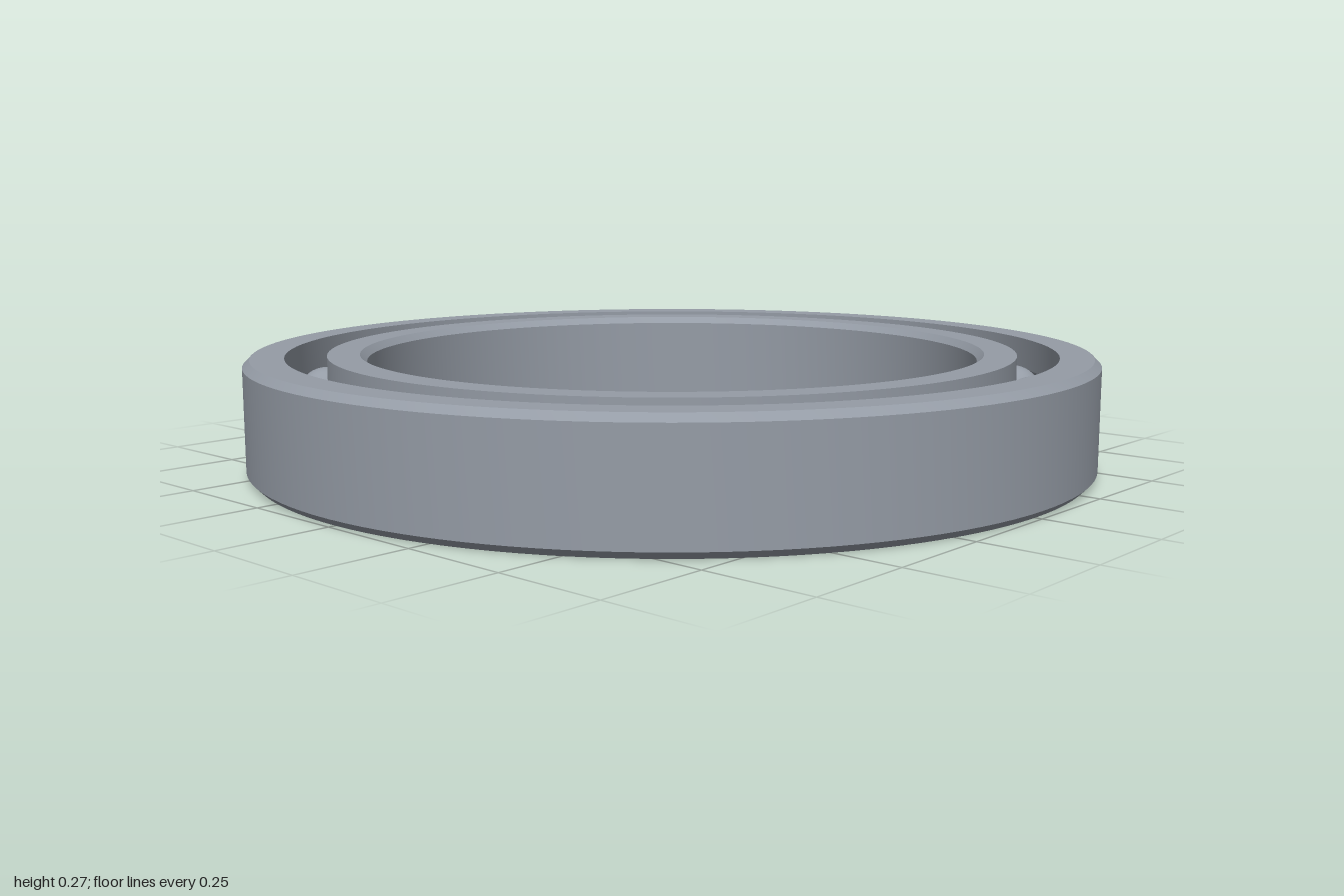
import * as THREE from 'three';
import { toCreasedNormals } from 'three/addons/utils/BufferGeometryUtils.js';

const HEIGHT = 0.267, MID = HEIGHT / 2;
const OUTER = 1, BORE = 0.722, CHAMFER = 0.016;
const PITCH = 0.86, BALL = 0.073, BALLS = 26, FIRST_ANGLE = THREE.MathUtils.degToRad(1.95);
const SHOULDER = 0.0475; // half the gap between the two rings

// Race ring: chamfered on its plain side, with a round ball groove on the other.
// side = 1 for the outer ring, -1 for the inner ring.
function raceRing(plainRadius, side) {
  const c = CHAMFER * side;
  const shoulder = PITCH + SHOULDER * side;
  const points = [
    [shoulder, 0], [plainRadius - c, 0], [plainRadius, CHAMFER],
    [plainRadius, HEIGHT - CHAMFER], [plainRadius - c, HEIGHT], [shoulder, HEIGHT],
  ].map(([x, y]) => new THREE.Vector2(x, y));
  // Groove arc from top to bottom
  const grooveRadius = BALL + 0.001;
  const half = Math.acos(SHOULDER / grooveRadius);
  for (let i = 0; i <= 12; i++) {
    const a = half * (1 - i / 6);
    points.push(new THREE.Vector2(PITCH + side * grooveRadius * Math.cos(a), MID + grooveRadius * Math.sin(a)));
  }
  points.push(points[0].clone());
  if (side < 0) points.reverse(); // keep faces pointing outwards
  return toCreasedNormals(new THREE.LatheGeometry(points, 128), 0.5);
}

export function createModel() {
  const steel = new THREE.MeshStandardMaterial({ color: 0x959ca6 });
  steel.name = 'steel grey';
  const model = new THREE.Group();
  model.name = 'ballBearing';

  const add = (parent, name, geometry) => {
    const mesh = new THREE.Mesh(geometry, steel);
    mesh.name = name;
    parent.add(mesh);
    return mesh;
  };

  add(model, 'outerRing', raceRing(OUTER, 1));
  add(model, 'innerRing', raceRing(BORE, -1));

  // Balls evenly spaced between the rings
  const balls = new THREE.Group();
  balls.name = 'balls';
  model.add(balls);
  const ballGeometry = new THREE.SphereGeometry(BALL, 32, 20);
  for (let i = 0; i < BALLS; i++) {
    const a = FIRST_ANGLE + (i / BALLS) * Math.PI * 2;
    add(balls, `ball${i + 1}`, ballGeometry).position.set(PITCH * Math.cos(a), MID, -PITCH * Math.sin(a));
  }
  return model;
}
